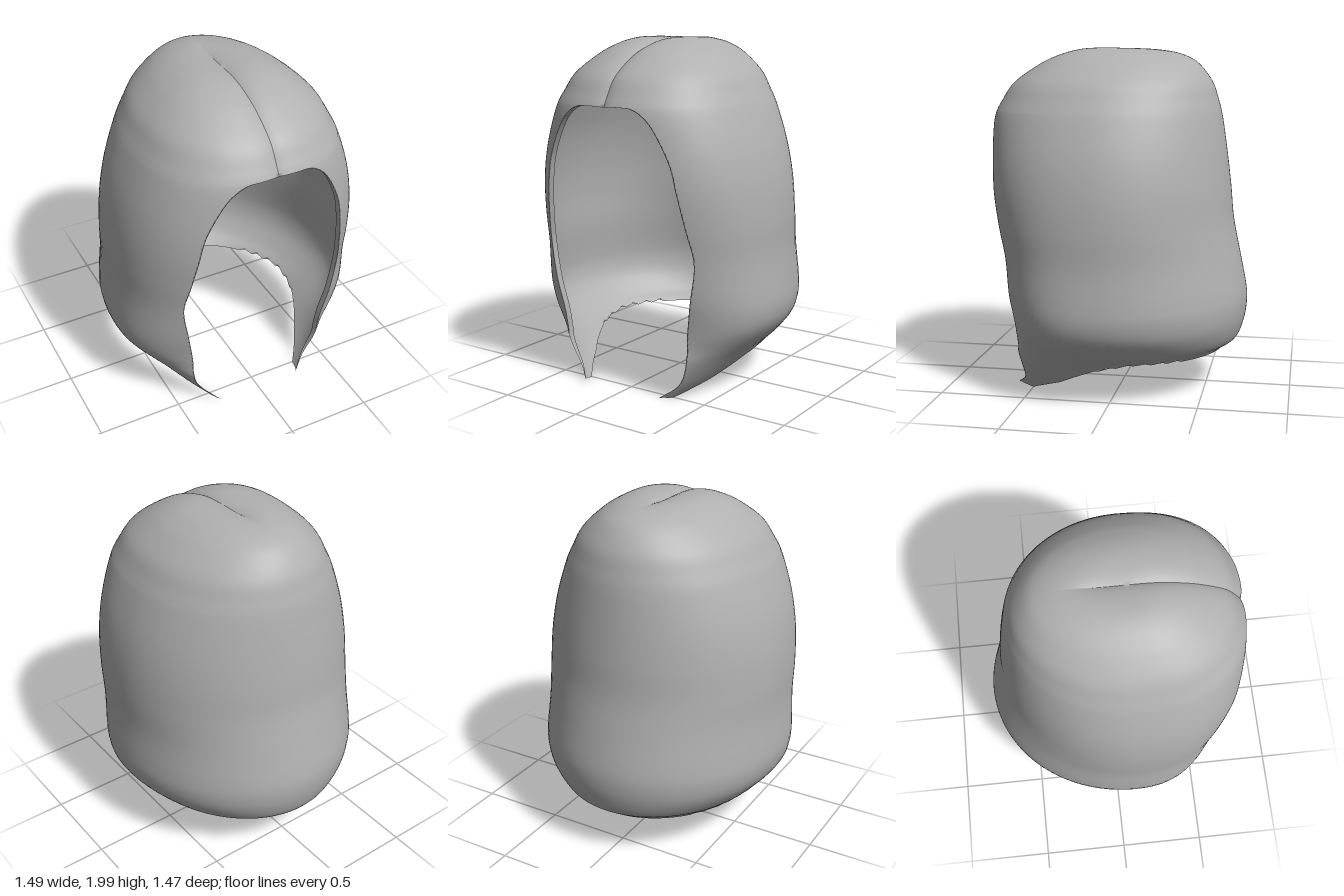
import * as THREE from 'three';

const hairGray = new THREE.MeshStandardMaterial({ color: 0xb0b0b0, side: THREE.DoubleSide });
hairGray.name = 'hair gray';

const CENTRE_Z = 0.1;
const RIM_Y = 1.64; // top of the face opening

// Horizontal rings, crown to tips: [y, half width, front z, back z]
const RINGS = [
  [2.0, 0, 0.1, 0.1], [1.996, 0.15, 0.22, -0.12], [1.98, 0.23, 0.31, -0.25],
  [1.95, 0.3, 0.4, -0.36], [1.9, 0.38, 0.5, -0.44], [1.8, 0.49, 0.64, -0.515],
  [1.7, 0.55, 0.71, -0.55], [1.6, 0.6, 0.755, -0.575], [1.4, 0.67, 0.775, -0.605],
  [1.2, 0.71, 0.775, -0.63], [1.0, 0.725, 0.75, -0.65], [0.8, 0.725, 0.715, -0.69],
  [0.6, 0.74, 0.68, -0.73], [0.5, 0.74, 0.655, -0.735], [0.4, 0.71, 0.64, -0.72],
  [0.3, 0.63, 0.655, -0.68], [0.24, 0.57, 0.69, -0.6], [0.1, 0.45, 0.72, -0.53],
  [0, 0.35, 0.73, -0.5],
];

// Edge of the face opening, top centre to tip (x, y)
const EDGE = new THREE.CatmullRomCurve3([
  [0, RIM_Y], [0.1, 1.637], [0.18, 1.63], [0.24, 1.6], [0.3, 1.54], [0.4, 1.35],
  [0.435, 1.2], [0.47, 1.0], [0.495, 0.82], [0.465, 0.6], [0.43, 0.4], [0.41, 0.22],
  [0.35, 0.09], [0.26, 0.02],
].map(([x, y]) => new THREE.Vector3(x, y, 0)));

// Hem height by angle from the front
const HEM = [[0.77, 0.02], [0.95, 0], [1.3, 0.08], [1.57, 0.18], [1.72, 0.21], [1.9, 0.235], [3.2, 0.24]];

function hemHeight(phi) {
  if (phi <= HEM[0][0]) return HEM[0][1];
  const i = HEM.findIndex((h) => h[0] >= phi);
  const [a, b] = [HEM[i - 1], HEM[i]];
  return THREE.MathUtils.mapLinear(phi, a[0], b[0], a[1], b[1]);
}

// Spline through the rings at a fractional index
function ringAt(k) {
  const i = Math.min(Math.floor(k), RINGS.length - 2), t = k - i;
  const R = (n) => RINGS[THREE.MathUtils.clamp(n, 0, RINGS.length - 1)];
  return RINGS[i].map((p1, c) => {
    const p0 = R(i - 1)[c], p2 = R(i + 1)[c], p3 = R(i + 2)[c];
    const m1 = (p2 - p0) / 2, m2 = (p3 - p1) / 2;
    return p1 + t * (m1 + t * (3 * (p2 - p1) - 2 * m1 - m2 + t * (2 * (p1 - p2) + m1 + m2)));
  });
}

function indexAtHeight(y) {
  let lo = 0, hi = RINGS.length - 1;
  for (let n = 0; n < 30; n++) {
    const mid = (lo + hi) / 2;
    if (ringAt(mid)[0] > y) lo = mid; else hi = mid;
  }
  return (lo + hi) / 2;
}

// Surface point on a ring: squarer in front, elliptical behind
function surfacePoint([y, w, f, b], phi) {
  const c = Math.cos(phi), s = Math.max(0, Math.sin(phi)), e = c > 0 ? 2 / 2.4 : 1;
  const x = w * Math.pow(s, e);
  const z = CENTRE_Z + (c > 0 ? f - CENTRE_Z : CENTRE_Z - b) * Math.sign(c) * Math.pow(Math.abs(c), e);
  // Parting groove, fading out behind the crown
  const d = 0.032 * Math.exp(-x / 0.05) * THREE.MathUtils.smoothstep(z, -0.3, 0);
  const front = THREE.MathUtils.smoothstep(z, 0.3, 0.72);
  return [x, y - d * (1 - 0.7 * front), z - d * 0.6 * front];
}

function edgeAngle(x, y) {
  const w = ringAt(indexAtHeight(y))[1];
  return Math.asin(Math.min(1, Math.pow(Math.max(0, x) / w, 1.2)));
}

// One half of the hair, as rows of points from the crown to the hem
function halfRows() {
  const N = 56, CAP = 34, BODY = 70, rows = [];
  // Columns crowd towards the parting and the back centre
  const ease = Array.from({ length: N + 1 }, (_, j) => j / N - 0.7 * Math.sin((2 * Math.PI * j) / N) / (2 * Math.PI));
  const rim = indexAtHeight(RIM_Y);

  for (let i = 0; i <= CAP; i++) {
    const ring = ringAt((rim * i) / CAP);
    const row = ease.map((s) => surfacePoint(ring, Math.PI * s));
    rows.push([row[0], ...row]);
  }

  const tipAngle = edgeAngle(0.26, 0.02);
  const hems = ease.map((s) => hemHeight(THREE.MathUtils.lerp(tipAngle, Math.PI, s)));
  hems[0] = 0.02;
  for (let i = 1; i <= BODY; i++) {
    const p = EDGE.getPoint(i / BODY);
    const drop = (RIM_Y - p.y) / (RIM_Y - 0.02);
    const a = edgeAngle(p.x, p.y);
    const row = ease.map((s, j) => {
      const phi = THREE.MathUtils.lerp(a, Math.PI, s);
      let y = THREE.MathUtils.lerp(RIM_Y, hems[j], drop);
      // Ragged hem at the sides
      if (i === BODY && phi > 1.5 && phi < 2.4 && j % 2) y += 0.018;
      return surfacePoint(ringAt(indexAtHeight(y)), phi);
    });
    // Lip turned in behind the face edge
    const [x, y, z] = row[0];
    rows.push([[x, y, z - 0.04 * Math.min(1, (BODY - i) / 12)], ...row]);
  }
  return rows;
}

function halfGeometry(rows, side) {
  const cols = rows[0].length, index = [];
  const positions = rows.flat().flatMap(([x, y, z]) => [side * x, y, z]);
  for (let i = 0; i < rows.length - 1; i++) {
    for (let j = 0; j < cols - 1; j++) {
      const a = i * cols + j, b = a + cols, c = a + 1, d = b + 1;
      if (side > 0) index.push(a, b, c, c, b, d);
      else index.push(a, c, b, c, d, b);
    }
  }
  const g = new THREE.BufferGeometry();
  g.setAttribute('position', new THREE.Float32BufferAttribute(positions, 3));
  g.setIndex(index);
  g.computeVertexNormals();
  // Blend the halves at the back, leaving the parting creased
  const n = g.attributes.normal, v = new THREE.Vector3();
  for (let i = 0; i < rows.length; i++) {
    const k = i * cols + cols - 1;
    v.fromBufferAttribute(n, k).setX(0).normalize();
    n.setXYZ(k, v.x, v.y, v.z);
  }
  for (let j = 0; j < cols; j++) n.setXYZ(j, 0, 1, 0);
  return g;
}

export function createModel() {
  const hair = new THREE.Group();
  hair.name = 'bobHair';
  const rows = halfRows();
  for (const [name, side] of [['leftHair', 1], ['rightHair', -1]]) {
    const mesh = new THREE.Mesh(halfGeometry(rows, side), hairGray);
    mesh.name = name;
    hair.add(mesh);
  }
  return hair;
}
